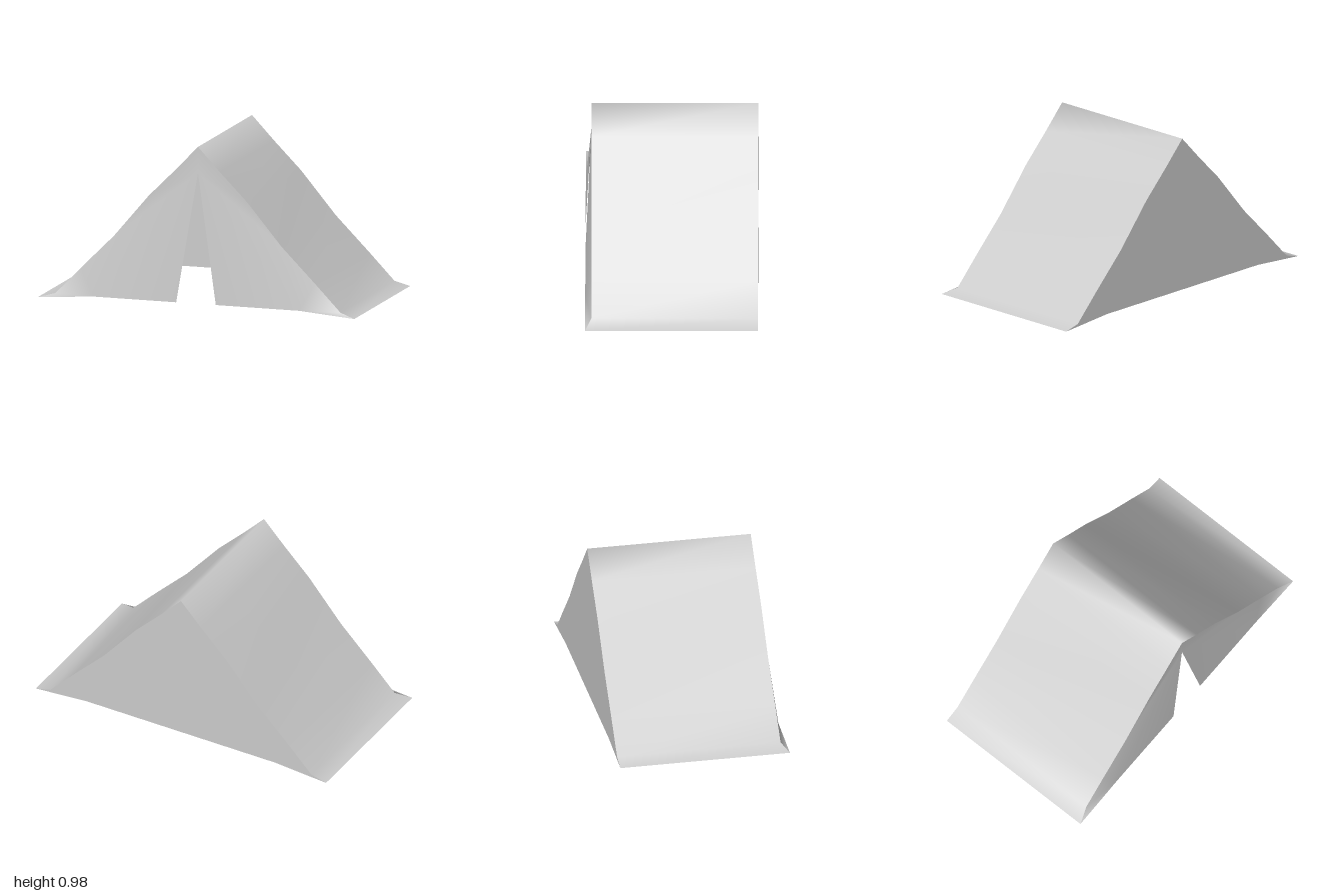
import * as THREE from 'three';

const FRONT = 0.48, HEM = 0.517, BACK = -0.517;

// Half cross-section of the canvas, from ridge to hem
const HALF = [[0, 0.977], [0.14, 0.83], [0.31, 0.66], [0.53, 0.4], [0.74, 0.19], [0.9, 0.025], [1, 0]];
const PROFILE = [...HALF.slice(1).reverse().map(([x, y]) => [-x, y]), ...HALF];

const material = new THREE.MeshStandardMaterial({ color: 0xcccccc, side: THREE.DoubleSide });

function makeMesh(name, points, index) {
  const geometry = new THREE.BufferGeometry();
  geometry.setAttribute('position', new THREE.Float32BufferAttribute(points.flat(), 3));
  geometry.setIndex(index);
  geometry.computeVertexNormals();
  const mesh = new THREE.Mesh(geometry, material);
  mesh.name = name;
  return mesh;
}

// Roof canvas: the profile swept from front to back, hem corners pulled forward
function makeRoof() {
  const points = [], index = [];
  PROFILE.forEach(([x, y], i) => {
    points.push([x, y, Math.abs(x) === 1 ? HEM : FRONT], [x, y, BACK]);
    if (i > 0) {
      const a = 2 * (i - 1), b = 2 * i;
      index.push(a, b, a + 1, b, b + 1, a + 1);
    }
  });
  return makeMesh('roofCanvas', points, index);
}

// One door flap, leaning forward towards the ground; side is +1 or -1
function makeFlap(side) {
  const outline = [
    [0, 0.82, FRONT],      // 0 top of the opening
    [0.125, 0.027, HEM],   // 1 inner bottom corner
    [0.65, 0.027, HEM],    // 2 start of the hem slope
    ...HALF.map(([x, y]) => [x, y, x === 1 ? HEM : FRONT]), // 3 ridge .. 9 hem corner
  ];
  const points = outline.map(([x, y, z]) => [side * x, y, z]);
  const index = [[0, 1, 2]];
  for (let i = 9; i > 6; i--) index.push([2, i, i - 1]);
  index.push([0, 2, 6]);
  for (let i = 6; i > 3; i--) index.push([0, i, i - 1]);
  const wound = index.map((t) => (side > 0 ? t : [t[0], t[2], t[1]]));
  return makeMesh(side > 0 ? 'leftDoorFlap' : 'rightDoorFlap', points, wound.flat());
}

// Flat back wall with a slightly raised bottom edge
function makeBackWall() {
  const outline = [...PROFILE, [0.65, 0.027], [-0.65, 0.027]];
  const shape = new THREE.Shape(outline.map(([x, y]) => new THREE.Vector2(x, y)));
  const geometry = new THREE.ShapeGeometry(shape);
  geometry.rotateY(Math.PI);
  const mesh = new THREE.Mesh(geometry, material);
  mesh.name = 'backWall';
  mesh.position.z = BACK;
  return mesh;
}

export function createModel() {
  const tent = new THREE.Group();
  tent.name = 'tent';
  tent.add(makeRoof(), makeFlap(1), makeFlap(-1), makeBackWall());
  return tent;
}
